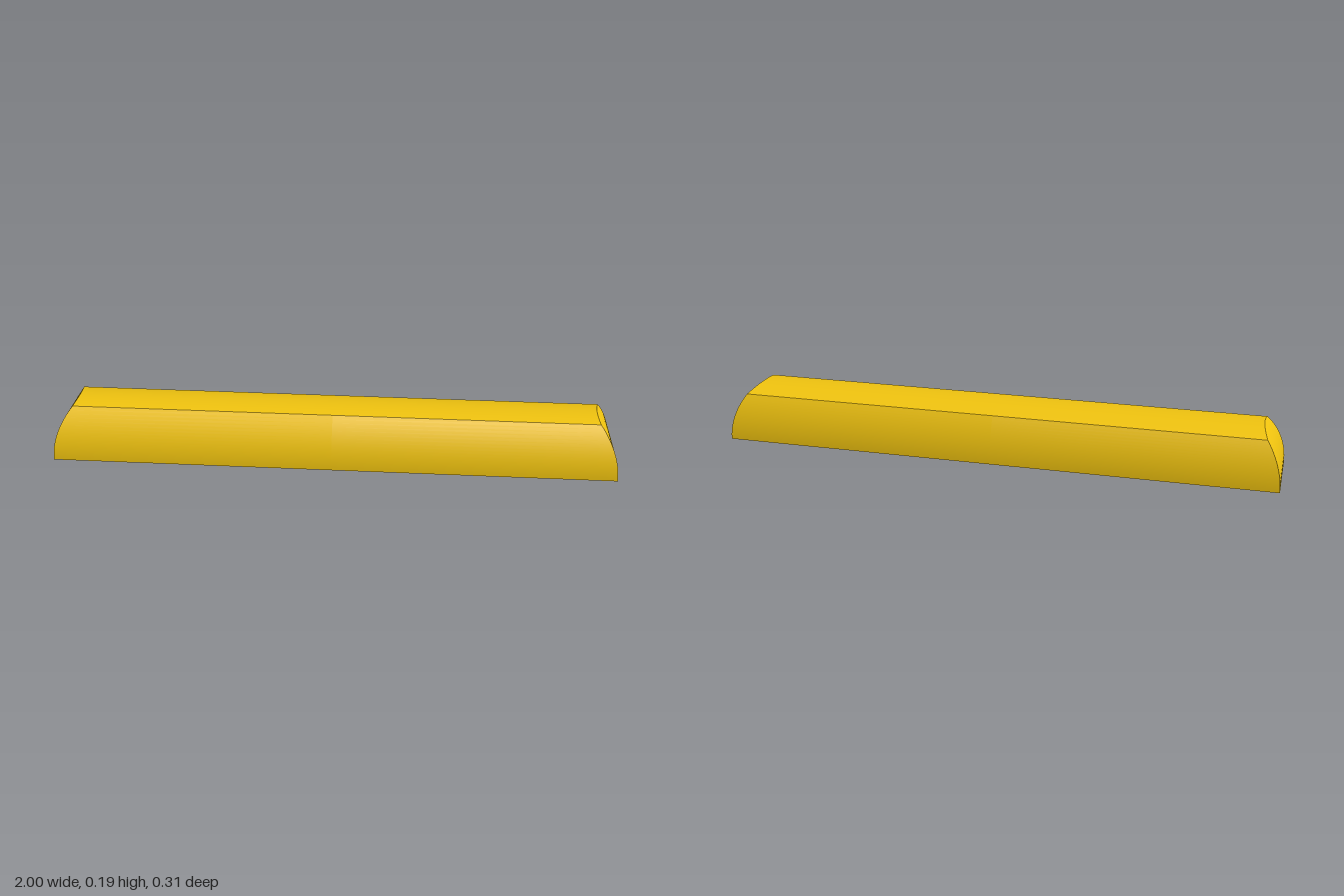
import * as THREE from 'three';

const material = new THREE.MeshStandardMaterial({ color: 0xf1c40f });
const lerp = THREE.MathUtils.lerp;
const WALL = 0.026;

// Inward lean of a wall that rises as a circular arc from a vertical start
const lean = (radius, y) => radius - Math.sqrt(radius * radius - y * y);

// Smooth grid patch; point(u, v) returns [x, y, z], facing du x dv
function patch(point, nu, nv, flip) {
  const pos = [], index = [];
  for (let j = 0; j <= nv; j++)
    for (let i = 0; i <= nu; i++) pos.push(...point(flip ? 1 - i / nu : i / nu, j / nv));
  for (let j = 0; j < nv; j++)
    for (let i = 0; i < nu; i++) {
      const a = j * (nu + 1) + i, b = a + 1, c = a + nu + 1, d = c + 1;
      index.push(a, b, d, a, d, c);
    }
  const geo = new THREE.BufferGeometry();
  geo.setAttribute('position', new THREE.Float32BufferAttribute(pos, 3));
  geo.setIndex(index);
  geo.computeVertexNormals();
  return geo;
}

function add(parent, name, geo) {
  const mesh = new THREE.Mesh(geo, material);
  mesh.name = name;
  parent.add(mesh);
  return mesh;
}

// Four curved walls and a crowned top; the inset, flipped version lines the inside
function shell(name, inset, flip) {
  const group = new THREE.Group();
  group.name = name;
  const topFront = 0.087 - inset * 0.7, topBack = -0.112 + inset * 0.7;
  const topY = z => 0.1895 - inset - 1.3 * (z - 0.02) ** 2;
  const endX = y => 1 - inset - lean(0.285, y);
  // Edge positions are scaled so that walls meet the top exactly
  const frontH = topY(topFront), backH = topY(topBack);
  const foot = 0.154 - inset;
  const frontZ = v => foot - (foot - topFront) * lean(0.28, v * frontH) / lean(0.28, frontH);
  const backZ = v => -foot + (foot + topBack) * lean(0.353, v * backH) / lean(0.353, backH);

  add(group, 'frontWall', patch((u, v) => {
    const y = v * frontH;
    return [lerp(-1, 1, u) * endX(y), y, frontZ(v)];
  }, 2, 16, flip));
  add(group, 'backWall', patch((u, v) => {
    const y = v * backH;
    return [lerp(1, -1, u) * endX(y), y, backZ(v)];
  }, 2, 16, flip));
  for (const side of [1, -1]) {
    add(group, side > 0 ? 'leftEnd' : 'rightEnd', patch((u, v) => {
      const k = side > 0 ? u : 1 - u;
      const y = v * topY(lerp(topFront, topBack, k));
      return [side * endX(y), y, lerp(frontZ(v), backZ(v), k)];
    }, 16, 16, flip));
  }
  add(group, 'top', patch((u, v) => {
    const z = lerp(topFront, topBack, v), y = topY(z);
    return [lerp(-1, 1, u) * endX(y), y, z];
  }, 2, 16, flip));
  return group;
}

// Flat underside edge joining the outer and inner shells
function rimGeometry() {
  const rect = (Kind, x, z) => new Kind([[-x, -z], [x, -z], [x, z], [-x, z]].map(p => new THREE.Vector2(...p)));
  const shape = rect(THREE.Shape, 1, 0.154);
  shape.holes.push(rect(THREE.Path, 1 - WALL, 0.154 - WALL));
  return new THREE.ShapeGeometry(shape).rotateX(Math.PI / 2);
}

// Round post with a cross-shaped socket in its lower end
function stem(x) {
  const group = new THREE.Group();
  group.name = 'stem';
  const radius = 0.046, base = 0.003, depth = 0.07, top = 0.17;
  const shape = new THREE.Shape().absarc(0, 0, radius, 0, Math.PI * 2, false);
  const L = 0.035, w = 0.011;
  shape.holes.push(new THREE.Path([
    [L, -w], [L, w], [w, w], [w, L], [-w, L], [-w, w],
    [-L, w], [-L, -w], [-w, -w], [-w, -L], [w, -L], [w, -w],
  ].map(p => new THREE.Vector2(...p))));
  const socket = new THREE.ExtrudeGeometry(shape, { depth, bevelEnabled: false, curveSegments: 32 });
  add(group, 'stemSocket', socket.rotateX(-Math.PI / 2)).position.y = base;
  const height = top - base - depth;
  add(group, 'stemRoot', new THREE.CylinderGeometry(radius, radius, height, 32)).position.y = top - height / 2;
  group.position.x = x;
  return group;
}

export function createModel() {
  const model = new THREE.Group();
  model.name = 'longKeycap';
  model.add(shell('outerShell', 0, false), shell('innerShell', WALL, true));
  add(model, 'bottomRim', rimGeometry());
  for (const x of [-0.85, -0.685, 0, 0.15, 0.685, 0.85]) model.add(stem(x));
  return model;
}
